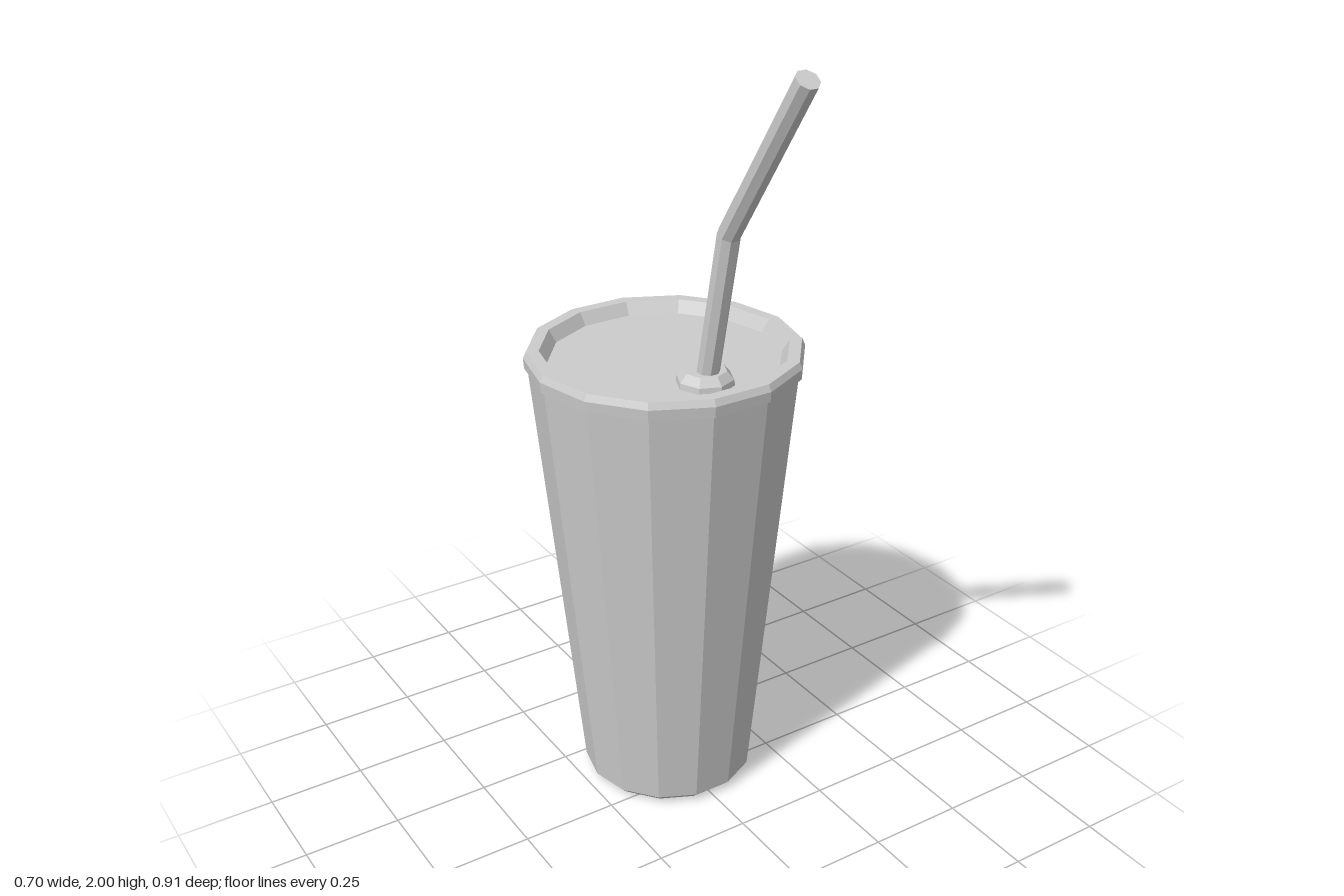
import * as THREE from 'three';

const CUP_Z = -0.114;
const SIDES = 14;

const grey = () => new THREE.MeshStandardMaterial({ color: 0xcccccc, flatShading: true });

// Faceted body of revolution from [radius, height] pairs listed bottom to top
function turned(name, profile, sides, z) {
  const points = profile.map(([r, y]) => new THREE.Vector2(r, y));
  const mesh = new THREE.Mesh(new THREE.LatheGeometry(points, sides), grey());
  mesh.name = name;
  mesh.rotation.y = Math.PI / 2;
  mesh.position.z = z;
  return mesh;
}

// Octagonal straw with a mitred bend: each ring of a cylinder is moved and tilted
function makeStraw() {
  const rings = [
    { y: 1.18, z: 0.073, tilt: 0.22, stretch: 1 },
    { y: 1.585, z: 0.163, tilt: 0.41, stretch: 1.02 },
    { y: 1.985, z: 0.436, tilt: 0.6, stretch: 1 },
  ];
  const geometry = new THREE.CylinderGeometry(0.028, 0.028, 1, 8, 2);
  geometry.rotateY(Math.PI / 8);
  const pos = geometry.attributes.position;
  for (let i = 0; i < pos.count; i++) {
    const ring = rings[Math.round((pos.getY(i) + 0.5) * 2)];
    const d = pos.getZ(i) * ring.stretch;
    pos.setXYZ(i, pos.getX(i) - 0.004, ring.y - d * Math.sin(ring.tilt), ring.z + d * Math.cos(ring.tilt));
  }
  geometry.computeVertexNormals();
  const mesh = new THREE.Mesh(geometry, grey());
  mesh.name = 'straw';
  return mesh;
}

export function createModel() {
  const model = new THREE.Group();
  model.name = 'drinkCup';

  // Tapered cup with a small bevel around the base
  model.add(turned('cup', [[0, 0], [0.205, 0], [0.226, 0.02], [0.338, 1.175]], SIDES, CUP_Z));

  // Lid with an overhanging rim and a shallow recess
  model.add(turned('lid', [
    [0.33, 1.172], [0.346, 1.178], [0.348, 1.205], [0.34, 1.222],
    [0.309, 1.222], [0.29, 1.19], [0, 1.19],
  ], SIDES, CUP_Z));

  // Raised collar around the straw hole
  const collar = turned('strawCollar', [[0.072, 1.188], [0.07, 1.205], [0.053, 1.225], [0, 1.225]], 8, 0.07);
  collar.position.x = -0.004;
  model.add(collar);

  model.add(makeStraw());
  return model;
}
